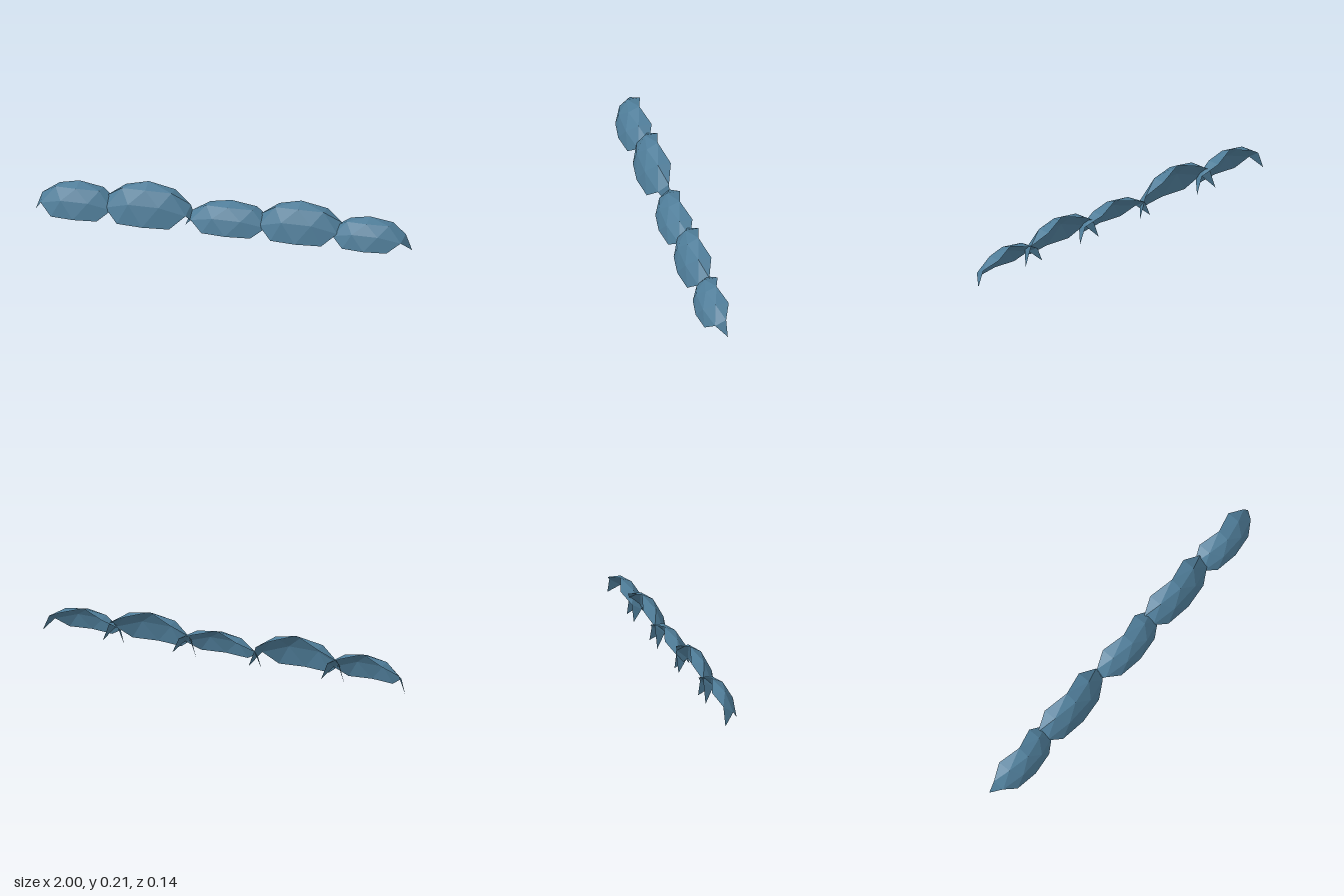
import * as THREE from 'three';

// Open faceted shell: the upper front part of a unit icosphere
function shellGeometry() {
  const sphere = new THREE.IcosahedronGeometry(1, 1).rotateY(Math.PI / 2);
  const pos = sphere.attributes.position;
  const kept = [];
  for (let i = 0; i < pos.count; i += 3) {
    const corners = [i, i + 1, i + 2];
    // keep faces wholly above the ground and not too far back
    if (corners.every((c) => pos.getY(c) > -0.01 && pos.getZ(c) > -0.4)) {
      corners.forEach((c) => kept.push(pos.getX(c), pos.getY(c), pos.getZ(c)));
    }
  }
  const geometry = new THREE.BufferGeometry();
  geometry.setAttribute('position', new THREE.Float32BufferAttribute(kept, 3));
  return geometry;
}

export function createModel() {
  const group = new THREE.Group();
  group.name = 'hillRow';

  const hillBlue = new THREE.MeshStandardMaterial({
    color: 0x4f7d99,
    flatShading: true,
    side: THREE.DoubleSide,
  });
  hillBlue.name = 'hillBlue';

  // Each hill: centre x, half width, height
  const hills = [
    [-0.768, 0.232, 0.176],
    [-0.4, 0.264, 0.213],
    [0.04, 0.246, 0.161],
    [0.412, 0.257, 0.199],
    [0.776, 0.224, 0.155],
  ];
  const depth = 0.11;
  const unit = shellGeometry();
  hills.forEach(([x, halfWidth, height], i) => {
    const geometry = unit.clone().scale(halfWidth, height, depth);
    geometry.computeVertexNormals();
    const hill = new THREE.Mesh(geometry, hillBlue);
    hill.name = `hill${i + 1}`;
    hill.position.set(x, 0, -0.038);
    group.add(hill);
  });
  return group;
}
